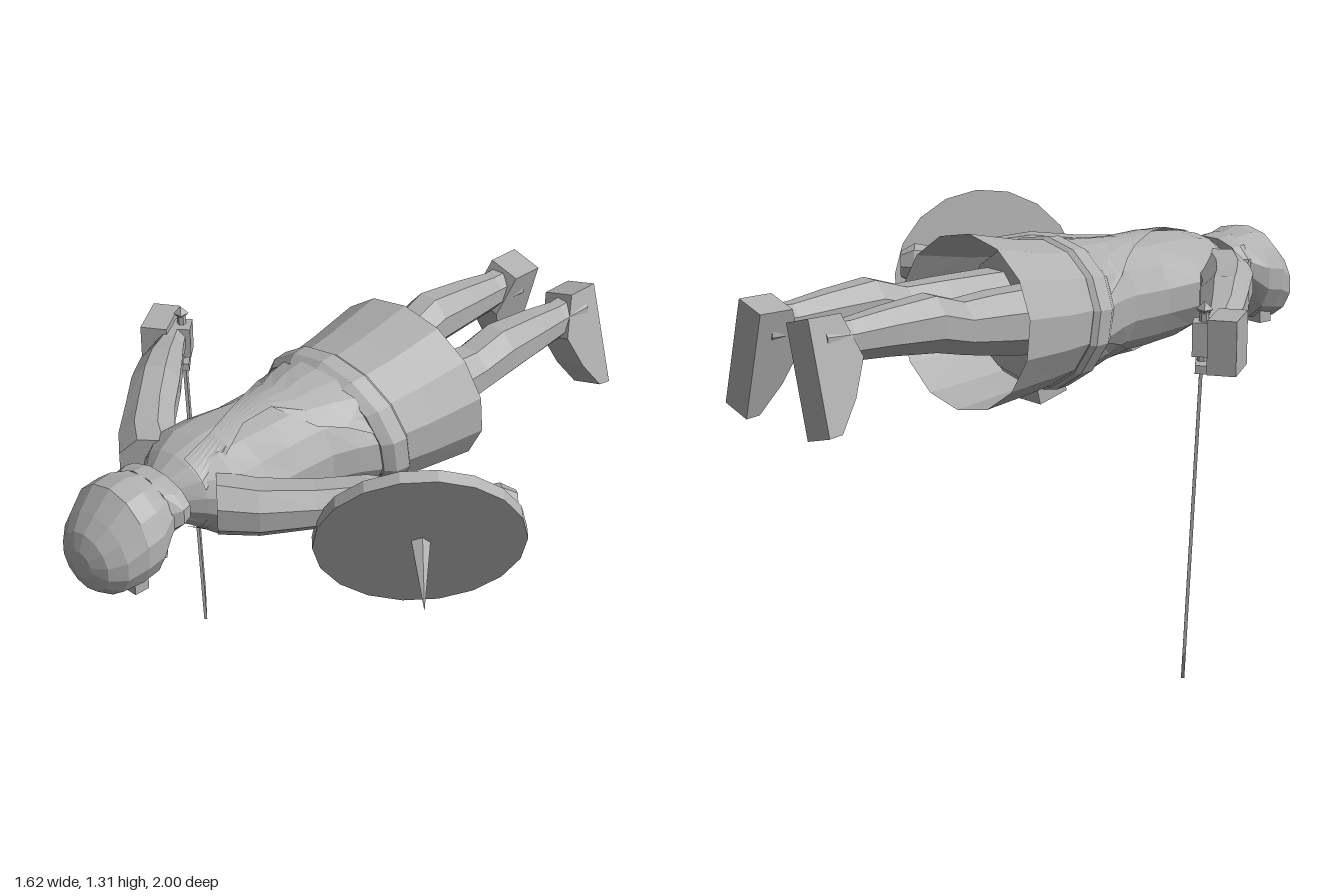
import * as THREE from 'three';

const grey = new THREE.MeshStandardMaterial({ color: 0xb0b0b0 });
grey.name = 'stone grey';
grey.flatShading = true;
grey.side = THREE.DoubleSide;

function add(parent, name, geometry) {
  const mesh = new THREE.Mesh(geometry, grey);
  mesh.name = name;
  parent.add(mesh);
  return mesh;
}

// Skin of elliptical rings [z, x, y, halfWidth, halfHeight]; dir is the horizontal run,
// tilt slides the upper side along z
function loft(rings, { sides = 10, dir = [0, 1], caps = true, tilt = 0 } = {}) {
  const pos = [], idx = [];
  for (const [z, x, y, w, h] of rings) {
    for (let i = 0; i < sides; i++) {
      const a = ((i + 0.5) / sides) * Math.PI * 2, c = Math.cos(a) * w, s = Math.sin(a);
      pos.push(x + dir[1] * c, y + s * h, z - dir[0] * c + tilt * s);
    }
  }
  for (let r = 0; r < rings.length - 1; r++) {
    for (let i = 0; i < sides; i++) {
      const j = (i + 1) % sides, a = r * sides, b = a + sides;
      idx.push(a + i, a + j, b + j, a + i, b + j, b + i);
    }
  }
  if (caps) {
    const last = (rings.length - 1) * sides;
    for (let i = 1; i < sides - 1; i++) {
      idx.push(0, i + 1, i, last, last + i, last + i + 1);
    }
  }
  const g = new THREE.BufferGeometry();
  g.setAttribute('position', new THREE.Float32BufferAttribute(pos, 3));
  g.setIndex(idx);
  g.computeVertexNormals();
  return g;
}

const torsoRings = [
  [-0.1, 0, 1.04, 0.25, 0.2], [0.05, 0, 1.04, 0.25, 0.205], [0.12, 0, 1.05, 0.23, 0.19],
  [0.2, 0, 1.05, 0.2, 0.18], [0.34, 0, 1.05, 0.195, 0.175], [0.46, 0, 1.06, 0.21, 0.17],
  [0.56, 0, 1.07, 0.21, 0.15], [0.64, 0, 1.09, 0.14, 0.11], [0.7, 0, 1.09, 0.08, 0.075],
];

// Height of the torso surface, upper (s = 1) or lower (s = -1)
function torsoY(x, z, s) {
  let k = 0;
  while (k < torsoRings.length - 2 && z > torsoRings[k + 1][0]) k++;
  const a = torsoRings[k], b = torsoRings[k + 1], t = (z - a[0]) / (b[0] - a[0]);
  const [, , y, w, h] = a.map((v, i) => v + (b[i] - v) * t);
  return y + s * (h * Math.sqrt(Math.max(0, 1 - (x / w) ** 2)) + 0.008);
}

// Cloth drape from the hips to the left shoulder, rows of [z, xMin, xMax]
function drape(s) {
  const rows = [[0.64, 0.04, 0.13], [0.52, 0.02, 0.1], [0.42, -0.02, 0.05], [0.3, -0.08, 0.04],
    [0.22, -0.13, 0.15], [0.14, -0.19, 0.19], [0.04, -0.24, 0.24]];
  const g = new THREE.PlaneGeometry(1, 1, 6, rows.length - 1), p = g.attributes.position;
  for (let i = 0; i < p.count; i++) {
    const [z, lo, hi] = rows[Math.floor(i / 7)];
    const x = lo + (hi - lo) * (s > 0 ? (i % 7) / 6 : 1 - (i % 7) / 6);
    p.setXYZ(i, x, torsoY(x, z, s), z);
  }
  // rows run from +z to -z, so wind the faces the other way round
  const ix = g.index.array;
  for (let i = 0; i < ix.length; i += 3) [ix[i], ix[i + 1]] = [ix[i + 1], ix[i]];
  g.computeVertexNormals();
  return g;
}

function buildHead(root) {
  const head = new THREE.Group();
  head.name = 'head';
  root.add(head);
  add(head, 'neck', loft([[0.62, 0, 1.09, 0.09, 0.08], [0.78, 0, 1.08, 0.085, 0.075]]));
  add(head, 'helmet', loft([
    [0.72, 0, 1.1, 0.12, 0.075], [0.77, 0, 1.08, 0.135, 0.11], [0.82, 0, 1.05, 0.16, 0.155],
    [0.88, 0, 1.04, 0.163, 0.155], [0.94, 0, 1.01, 0.14, 0.125], [0.98, 0, 1.0, 0.1, 0.09],
    [1.0, 0, 1.0, 0.045, 0.04]], { sides: 14 }));
  add(head, 'neckGuard', loft([
    [0.705, 0, 1.105, 0.14, 0.075], [0.735, 0, 1.1, 0.148, 0.085],
    [0.765, 0, 1.09, 0.13, 0.1]], { sides: 12 }));
  const nose = add(head, 'nose', new THREE.ConeGeometry(0.025, 0.08, 4));
  nose.position.set(0, 0.93, 0.81);
  nose.rotation.x = Math.PI / 2 - 0.4;
  add(head, 'beard', loft([[0.715, 0, 0.94, 0.045, 0.035], [0.75, 0, 0.965, 0.085, 0.065],
    [0.8, 0, 1.0, 0.1, 0.08]], { sides: 8 }));
  const brow = add(head, 'brow', new THREE.BoxGeometry(0.2, 0.06, 0.05));
  brow.position.set(0, 0.92, 0.865);
}

function buildSword(root) {
  const sword = new THREE.Group();
  sword.name = 'sword';
  sword.position.set(-0.66, 1, 0.022);
  sword.rotation.order = 'ZYX';
  sword.rotation.set(0, -Math.PI / 4, 0.055);
  root.add(sword);
  const shape = new THREE.Shape([[-0.033, 0], [-0.022, -0.9], [0.018, -1], [0.025, -0.9], [0.033, 0]]
    .map(([x, y]) => new THREE.Vector2(x, y)));
  const blade = new THREE.ExtrudeGeometry(shape, { depth: 0.01, bevelEnabled: false });
  add(sword, 'blade', blade.translate(0, 0, -0.005));
  add(sword, 'crossguard', new THREE.BoxGeometry(0.11, 0.025, 0.035)).position.y = -0.01;
  add(sword, 'grip', new THREE.CylinderGeometry(0.014, 0.014, 0.16, 6)).position.y = 0.08;
  add(sword, 'pommel', new THREE.OctahedronGeometry(0.024)).position.y = 0.155;
}

function buildShield(root) {
  const shield = new THREE.Group();
  shield.name = 'shield';
  shield.position.set(0.58, 1.005, 0.24);
  shield.quaternion.setFromUnitVectors(new THREE.Vector3(0, 1, 0),
    new THREE.Vector3(0.68, -0.38, 0.63).normalize());
  root.add(shield);
  add(shield, 'shieldDisc', new THREE.CylinderGeometry(0.305, 0.305, 0.04, 18));
  add(shield, 'shieldSpike', new THREE.ConeGeometry(0.03, 0.23, 5)).position.y = 0.13;
}

export function createModel() {
  const root = new THREE.Group();
  root.name = 'warrior';

  // Body and clothing
  add(root, 'torso', loft(torsoRings, { sides: 14 }));
  add(root, 'backDrape', drape(1));
  add(root, 'chestDrape', drape(-1));
  add(root, 'skirt', loft([[-0.325, 0, 1.05, 0.31, 0.265], [-0.14, 0, 1.04, 0.283, 0.235],
    [0.04, 0, 1.04, 0.255, 0.21]], { sides: 14, caps: false, tilt: 0.025 }));
  add(root, 'belt', loft([[-0.045, 0, 1.035, 0.27, 0.225], [-0.03, 0, 1.035, 0.285, 0.235],
    [0.02, 0, 1.035, 0.28, 0.23], [0.05, 0, 1.035, 0.255, 0.21]], { sides: 14, tilt: 0.035 }));
  const knot = add(root, 'beltKnot', new THREE.BoxGeometry(0.13, 0.05, 0.11));
  knot.position.set(0, 0.805, -0.03);
  knot.rotation.x = -0.25;

  // Arms, legs and feet on both sides
  for (const s of [-1, 1]) {
    const side = s > 0 ? 'left' : 'right';
    add(root, side + 'Arm', loft([
      [0.07, 0.66, 1.075, 0.045, 0.05], [0.11, 0.63, 1.075, 0.05, 0.052],
      [0.21, 0.55, 1.09, 0.07, 0.065], [0.32, 0.45, 1.105, 0.08, 0.075],
      [0.43, 0.35, 1.1, 0.08, 0.07], [0.54, 0.24, 1.09, 0.09, 0.082],
      [0.61, 0.14, 1.09, 0.1, 0.09]].map(([z, x, ...r]) => [z, s * x, ...r]),
    { sides: 8, dir: [-s * 0.66, 0.75] }));
    add(root, side + 'Leg', loft([
      [-0.95, 0.135, 1.11, 0.06, 0.065], [-0.85, 0.138, 1.105, 0.052, 0.063],
      [-0.72, 0.14, 1.11, 0.07, 0.075], [-0.56, 0.143, 1.11, 0.083, 0.09],
      [-0.45, 0.135, 1.08, 0.08, 0.085], [-0.32, 0.125, 1.07, 0.095, 0.1],
      [-0.05, 0.12, 1.05, 0.11, 0.12]].map(([z, x, ...r]) => [z, s * x, ...r]), { sides: 8 }));
    // Foot drawn in profile (height, z), then splayed outward
    const profile = new THREE.Shape([[0.07, -0.08], [0.07, 0.03], [-0.06, 0.08], [-0.17, 0.03],
      [-0.26, -0.035], [-0.265, -0.08]].map(([y, z]) => new THREE.Vector2(z, y)));
    const footGeo = new THREE.ExtrudeGeometry(profile, { depth: 0.11, bevelEnabled: false });
    footGeo.translate(0, 0, -0.055).rotateY(-Math.PI / 2);
    const foot = add(root, side + 'Foot', footGeo);
    foot.position.set(s * 0.135, 1.11, -0.92);
    foot.rotation.z = s * 0.27;
  }

  // Hands
  const fist = add(root, 'rightFist', new THREE.BoxGeometry(0.085, 0.16, 0.16));
  fist.position.set(-0.72, 1.06, 0.065);
  fist.rotation.y = 0.585;
  const fingers = add(root, 'rightFingers', new THREE.BoxGeometry(0.07, 0.1, 0.07));
  fingers.position.set(-0.665, 1.07, 0.03);
  fingers.rotation.y = 0.72;
  add(root, 'leftHand', loft([[-0.005, 0.725, 1.07, 0.035, 0.045], [0.03, 0.695, 1.07, 0.055, 0.07],
    [0.09, 0.645, 1.075, 0.045, 0.05]], { sides: 7, dir: [-0.66, 0.75] }));

  buildHead(root);
  buildSword(root);
  buildShield(root);
  return root;
}
